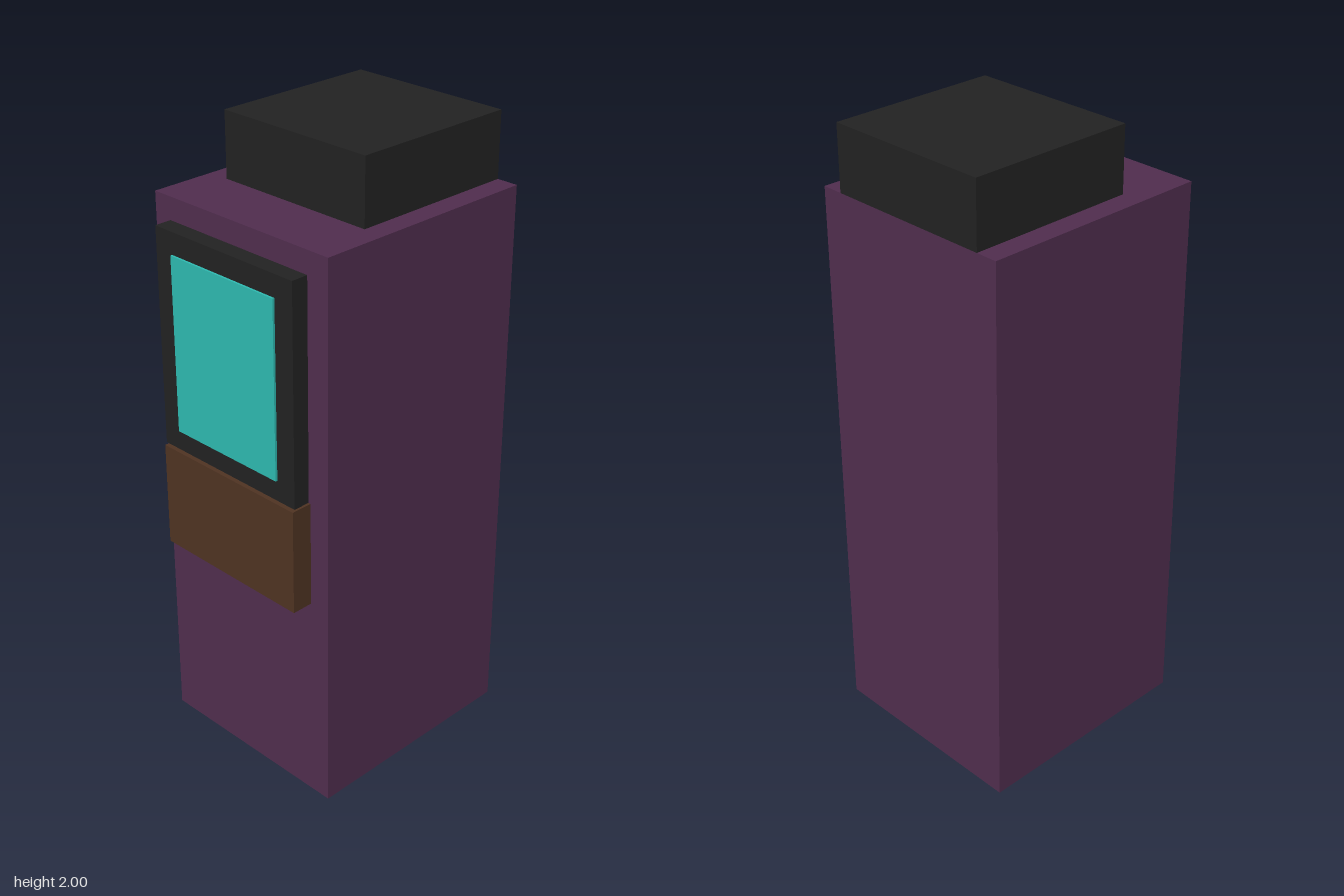
import * as THREE from 'three';

const material = (name, color) => {
  const m = new THREE.MeshStandardMaterial({ color });
  m.name = name;
  return m;
};

// Box given by its half width in x and its extents in y and z
function block(name, mat, halfWidth, [y0, y1], [z0, z1]) {
  const mesh = new THREE.Mesh(new THREE.BoxGeometry(halfWidth * 2, y1 - y0, z1 - z0), mat);
  mesh.position.set(0, (y0 + y1) / 2, (z0 + z1) / 2);
  mesh.name = name;
  return mesh;
}

export function createModel() {
  const purple = material('purple', 0x502d4e);
  const black = material('black', 0x222222);
  const teal = material('teal', 0x2eb9b0);
  const brown = material('brown', 0x4f3322);

  const group = new THREE.Group();
  group.name = 'kiosk';
  group.add(
    // Cabinet and the box on top, flush at the back
    block('cabinet', purple, 0.345, [0, 1.795], [-0.414, 0.343]),
    block('topBox', black, 0.275, [1.795, 2], [-0.414, 0.136]),
    // Display: the frame floats just off the cabinet, the screen passes through it
    block('screenFrame', black, 0.275, [1.037, 1.728], [0.35, 0.405]),
    block('screen', teal, 0.207, [1.103, 1.659], [0.343, 0.412]),
    // Panel below the display
    block('lowerPanel', brown, 0.275, [0.692, 1.03], [0.343, 0.412])
  );
  return group;
}
